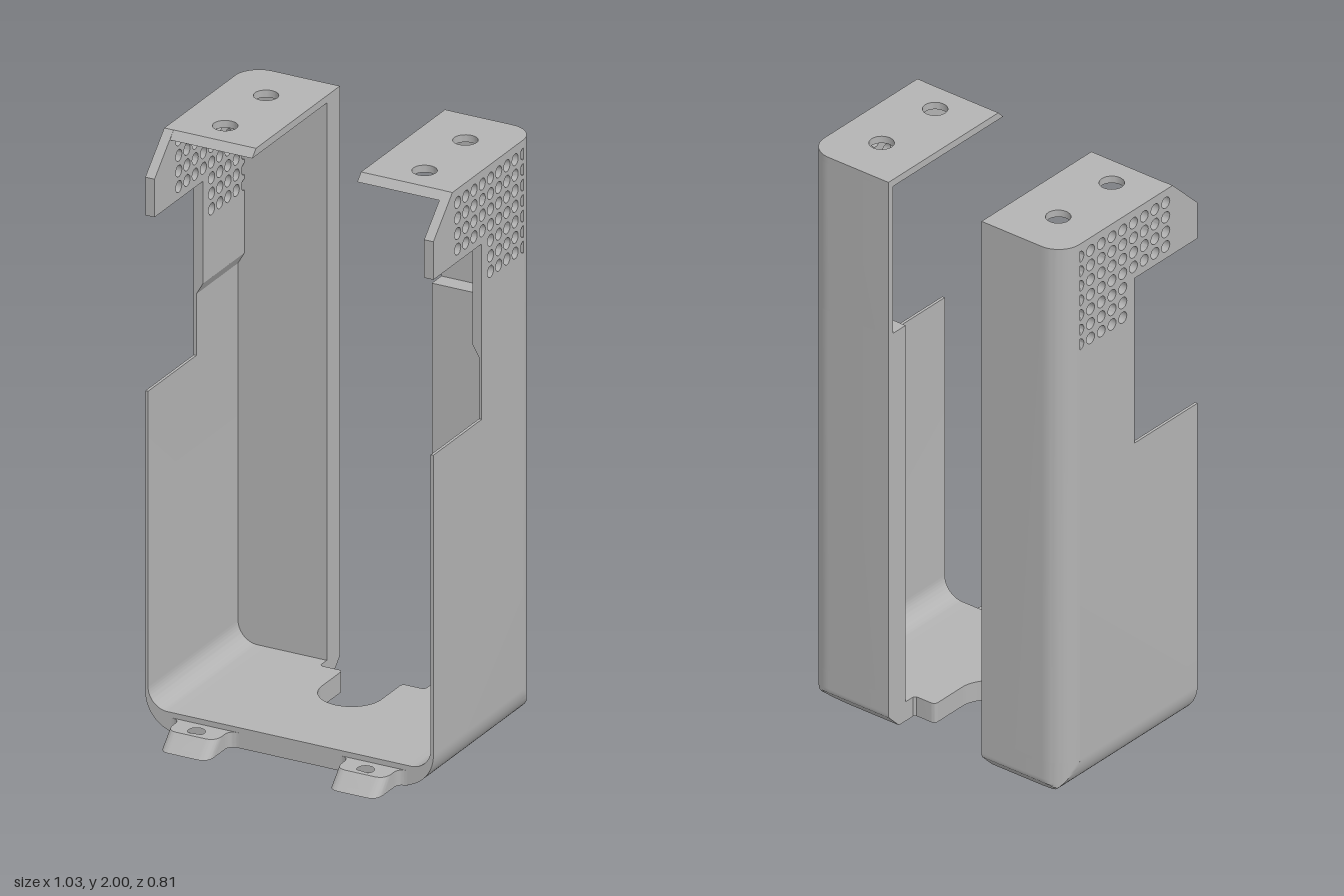
import * as THREE from 'three';
import { toCreasedNormals } from 'three/addons/utils/BufferGeometryUtils.js';

const W = 0.513;      // half width
const IN = 0.187;     // inner edge of the rear flanges
const BACK = -0.405;  // rear face
const R = 0.085;      // vertical rear corner radius
const SEAM = BACK + R;
const FRONT = 0.263;  // front edge of walls and floor
const FIL = 0.123;    // bottom edge radius
const FLOOR = 0.07;
const PI = Math.PI;

export function createModel() {
  const group = new THREE.Group();
  const metal = new THREE.MeshStandardMaterial({ color: 0xb3b3b3 });
  metal.name = 'greyMetal';

  const poly = (pts) => new THREE.Shape(pts.map(([a, b]) => new THREE.Vector2(a, b)));
  const circle = (x, y, r) => new THREE.Path().absarc(x, y, r, 0, 2 * PI, true);
  const extrude = (shape, depth, steps = 1, curveSegments = 8) =>
    new THREE.ExtrudeGeometry(shape, { depth, steps, curveSegments, bevelEnabled: false });
  // shape drawn in (x, z), raised from y0 to y1
  const plan = (shape, y0, y1, steps, seg) =>
    extrude(shape, y1 - y0, steps, seg).rotateX(PI / 2).translate(0, y1, 0);
  // move vertices by a rule
  const bend = (geo, rule) => {
    const p = geo.attributes.position;
    const v = new THREE.Vector3();
    for (let i = 0; i < p.count; i++) {
      v.fromBufferAttribute(p, i);
      rule(v);
      p.setXYZ(i, v.x, v.y, v.z);
    }
    return geo;
  };
  // mirror to the other side and restore the winding
  const mirror = (geo) => {
    const p = geo.attributes.position;
    const a = new THREE.Vector3(), b = new THREE.Vector3();
    geo.scale(-1, 1, 1);
    for (let i = 0; i < p.count; i += 3) {
      a.fromBufferAttribute(p, i);
      b.fromBufferAttribute(p, i + 1);
      p.setXYZ(i, b.x, b.y, b.z);
      p.setXYZ(i + 1, a.x, a.y, a.z);
    }
    return geo;
  };
  const add = (name, geo, side = 1) => {
    if (geo.index) geo = geo.toNonIndexed();
    if (side < 0) geo = mirror(geo);
    const mesh = new THREE.Mesh(toCreasedNormals(geo, 0.5), metal);
    mesh.name = name;
    group.add(mesh);
  };

  // floor with the stepped, round-ended rear slot
  const fx = W - FIL, c = 0.016, slot = 0.106, step = -0.275;
  const floor = new THREE.Shape();
  floor.moveTo(-fx, FRONT);
  floor.lineTo(-fx, SEAM);
  floor.lineTo(-IN, SEAM);
  floor.lineTo(-IN, step - c / 2);
  floor.lineTo(-IN + c / 2, step);
  floor.lineTo(-slot - c, step);
  floor.quadraticCurveTo(-slot, step, -slot, step + c);
  floor.lineTo(-slot, -0.141);
  floor.absarc(0, -0.141, slot, PI, 0, true);
  floor.lineTo(slot, step + c);
  floor.quadraticCurveTo(slot, step, slot + c, step);
  floor.lineTo(IN - c / 2, step);
  floor.lineTo(IN, step - c / 2);
  floor.lineTo(IN, SEAM);
  floor.lineTo(fx, SEAM);
  floor.lineTo(fx, FRONT);
  add('floor', plan(floor, 0, FLOOR, 1, 20));

  // rear flange section with rounded outer corner
  const thickFlange = () => {
    const s = new THREE.Shape();
    s.moveTo(IN, BACK);
    s.lineTo(W - R, BACK);
    s.absarc(W - R, SEAM, R, -PI / 2, 0, false);
    s.lineTo(IN, SEAM);
    return s;
  };
  // recessed version
  const thinFlange = () => {
    const s = new THREE.Shape();
    s.moveTo(IN, BACK);
    s.lineTo(W - R, BACK);
    s.absarc(W - R, SEAM, R, -PI / 2, 0, false);
    s.lineTo(0.475, SEAM);
    s.lineTo(0.475, -0.36);
    s.lineTo(0.46, -0.382);
    s.lineTo(IN, -0.382);
    return s;
  };

  for (const side of [1, -1]) {
    // flange foot, rounded at the side and chamfered at the rear
    const foot = bend(plan(thickFlange(), 0, 0.13, 16), (v) => {
      const d = Math.max(0, FIL - v.y);
      v.x = Math.min(v.x, fx + Math.sqrt(Math.max(0, FIL * FIL - d * d)));
      v.z = Math.max(v.z, BACK + Math.max(0, 0.052 - v.y));
    });
    add('flangeFoot', foot, side);

    // rear flange; one side is recessed near the top
    if (side > 0) {
      add('rearFlange', plan(thickFlange(), 0.13, 1.44), side);
      add('recessedFlange', plan(thinFlange(), 1.44, 1.975), side);
      add('flangeCap', plan(thickFlange(), 1.975, 2), side);
    } else {
      add('rearFlange', plan(thickFlange(), 0.13, 2), side);
    }

    // lower side wall curving into the floor
    const wall = new THREE.Shape();
    wall.moveTo(fx, 0);
    wall.absarc(fx, FIL, FIL, -PI / 2, 0, false);
    wall.lineTo(W, 1.15);
    wall.lineTo(0.503, 1.15);
    wall.lineTo(0.503, FLOOR + 0.07);
    wall.absarc(0.433, FLOOR + 0.07, 0.07, 0, -PI / 2, true);
    wall.lineTo(fx, FLOOR);
    add('lowerSideWall', extrude(wall, FRONT - SEAM, 1, 12).translate(0, 0, SEAM), side);

    // narrow wall that thickens toward the top
    const neck = poly([[W, 1.15], [W, 1.4], [0.48, 1.4], [0.503, 1.36], [0.503, 1.15]]);
    add('sideWallNeck', extrude(neck, -0.05 - SEAM).translate(0, 0, SEAM), side);

    // upper side panel with vent holes, drawn in (-z, y)
    const pitch = 0.0532, r = 0.02;
    const panel = new THREE.Shape();
    panel.moveTo(0.05, 1.4);
    panel.lineTo(-SEAM, 1.4);
    for (let j = 6; j >= 0; j--) {
      const y = 1.953 - j * pitch;
      panel.lineTo(-SEAM, y - r);
      panel.absarc(-SEAM, y, r, -PI / 2, PI / 2, true);
    }
    panel.lineTo(-SEAM, 2);
    panel.lineTo(-0.14, 2);
    panel.lineTo(-FRONT, 1.88);
    panel.lineTo(-FRONT, 1.75);
    panel.lineTo(0.05, 1.75);
    for (let j = 0; j < 7; j++) {
      for (let i = j < 4 ? 0 : 4; i < 8; i++) {
        panel.holes.push(circle(-SEAM - (8 - i) * pitch, 1.953 - j * pitch, r));
      }
    }
    add('ventPanel', extrude(panel, 0.033, 1, 7).rotateY(PI / 2).translate(0.48, 0, 0), side);

    // top plate with two screw holes and a slanted front edge
    const top = poly([[IN, SEAM], [0.48, SEAM], [0.48, 0.139], [IN, 0.139]]);
    top.holes.push(circle(0.355, -0.232, 0.04), circle(0.355, 0.033, 0.04));
    add('topPlate', bend(plan(top, 1.975, 2, 1, 14), (v) => {
      if (v.y < 1.99 && v.z > 0.13) v.z += 0.024;
    }), side);

    // mounting tab with flared root, sloped nose and counterbored hole
    const tabX = 0.301, tabZ = 0.317;
    const tab = (holeRadius) => {
      const s = new THREE.Shape();
      s.moveTo(tabX - 0.12, FRONT);
      s.quadraticCurveTo(tabX - 0.088, FRONT, tabX - 0.088, FRONT + 0.032);
      s.lineTo(tabX - 0.088, 0.36);
      s.quadraticCurveTo(tabX - 0.088, 0.405, tabX - 0.05, 0.405);
      s.lineTo(tabX + 0.05, 0.405);
      s.quadraticCurveTo(tabX + 0.088, 0.405, tabX + 0.088, 0.36);
      s.lineTo(tabX + 0.088, FRONT + 0.032);
      s.quadraticCurveTo(tabX + 0.088, FRONT, tabX + 0.12, FRONT);
      s.holes.push(circle(tabX, tabZ, holeRadius));
      return s;
    };
    const slope = (v) => {
      if (v.z > 0.35 && Math.hypot(v.x - tabX, v.z - tabZ) > 0.06) v.z -= v.y;
    };
    add('mountingTabBase', bend(plan(tab(0.045), 0, 0.015, 1, 12), slope), side);
    add('mountingTab', bend(plan(tab(0.028), 0.015, 0.052, 1, 12), slope), side);
  }
  return group;
}
